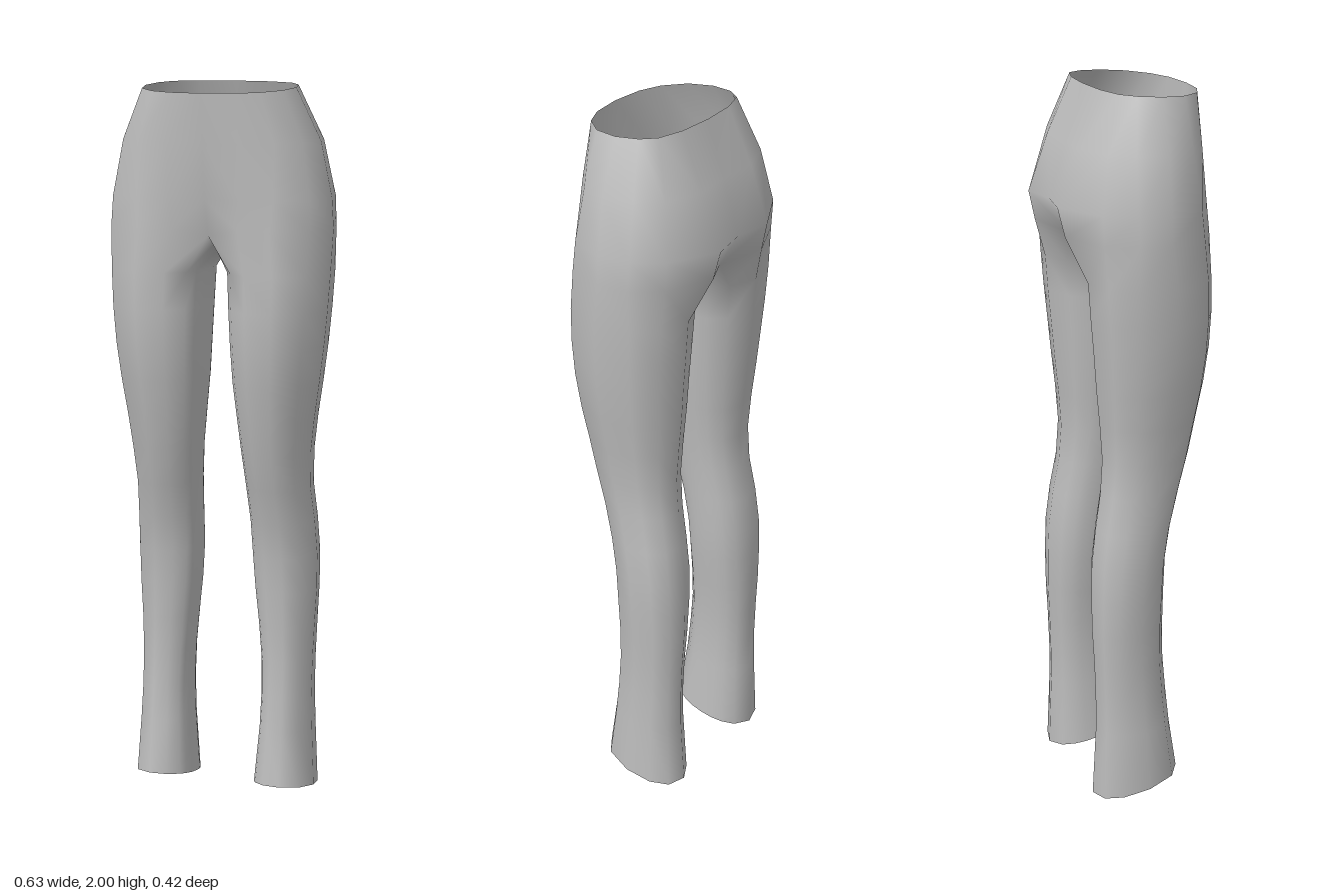
import * as THREE from 'three';
import { mergeVertices } from 'three/addons/utils/BufferGeometryUtils.js';

// Half sections of the hips as [x, z], from front centre round the side to back centre
const WAIST = [[0, .208], [.09, .198], [.15, .17], [.197, .115], [.213, .045], [.2, -.02], [.17, -.06], [.1, -.083], [0, -.09]];
const UPPER_HIP = [[0, .196], [.1, .193], [.19, .168], [.252, .115], [.28, .035], [.264, -.05], [.212, -.11], [.11, -.15], [0, -.14]];
const SEAT = [[0, .178], [.1, .188], [.19, .183], [.277, .13], [.31, .03], [.296, -.058], [.24, -.135], [.105, -.207], [0, -.188]];
const HIP_JOINT = [[0, .148], [.09, .18], [.185, .194], [.28, .138], [.315, .03], [.3, -.055], [.24, -.13], [.11, -.188], [0, -.13]];

// Crotch seam as [y, z], from back to front
const SEAM = [[1.572, -.09], [1.558, -.05], [1.553, 0], [1.555, .05], [1.572, .1]];

// Leg sections: y, inner x, outer x, back z, front z
const LEG = [
  [1.5, .027, .313, -.142, .2], [1.4, .032, .307, -.135, .203], [1.3, .037, .298, -.126, .198],
  [1.2, .043, .285, -.118, .185], [1.1, .053, .27, -.108, .165], [1.0, .063, .258, -.101, .145],
  [.9, .071, .253, -.108, .118], [.8, .076, .26, -.125, .09], [.7, .078, .264, -.137, .073],
  [.6, .085, .262, -.14, .068], [.5, .096, .256, -.139, .065], [.4, .105, .252, -.134, .066],
  [.3, .108, .251, -.131, .075], [.2, .105, .255, -.131, .086], [.025, .092, .264, -.14, .11],
];

// Directions round a leg, measured from the front towards the outside
const ANGLES = [-48, -22, 8, 45, 85, 118, 150, 185, 218, 240, 255, 270, 285, 299];

function legRing([y, x0, x1, z0, z1], last) {
  return ANGLES.map((deg) => {
    const a = deg * Math.PI / 180, s = Math.sin(a), c = Math.cos(a);
    const round = (v) => Math.sign(v) * Math.pow(Math.abs(v), .92);
    const z = (z0 + z1) / 2 + round(c) * (z1 - z0) / 2;
    // the hem rises towards the front
    const h = last ? .05 * (z - z0) / (z1 - z0) : y;
    return [(x0 + x1) / 2 + round(s) * (x1 - x0) / 2, h, z];
  });
}

// Adds the quads between an upper and a lower ring; side -1 mirrors them
function stitch(out, upper, lower, count, side) {
  for (let j = 0; j < count; j++) {
    const k = (j + 1) % upper.length;
    const quad = [upper[j], lower[j], lower[k], upper[j], lower[k], upper[k]];
    if (side < 0) quad.reverse();
    for (const [x, y, z] of quad) out.push(side * x, y, z);
  }
}

function toGeometry(points) {
  const g = new THREE.BufferGeometry();
  g.setAttribute('position', new THREE.Float32BufferAttribute(points, 3));
  return g;
}

export function createModel() {
  const group = new THREE.Group();
  group.name = 'trousers';
  const cloth = new THREE.MeshStandardMaterial({ color: 0xbcbcbc, side: THREE.DoubleSide });
  cloth.name = 'grey cloth';

  const level = (section, y) => section.map(([x, z]) => [x, y, z]);
  const waist = WAIST.map(([x, z]) => [x, 2 - .02 * (z + .09) / .298, z]);
  const joint = HIP_JOINT.map(([x, z]) => [x, x === 0 ? 1.6 : 1.62, z]);
  const hips = [waist, level(UPPER_HIP, 1.85), level(SEAT, 1.7), joint];
  const legs = [
    [...joint, ...SEAM.map(([y, z]) => [0, y, z])],
    ...LEG.map((s, i) => legRing(s, i === LEG.length - 1)),
  ];
  const hem = legs[legs.length - 1];

  const skin = [];
  for (const side of [1, -1]) {
    for (let i = 0; i < hips.length - 1; i++) stitch(skin, hips[i], hips[i + 1], WAIST.length - 1, side);
    for (let i = 0; i < legs.length - 1; i++) stitch(skin, legs[i], legs[i + 1], ANGLES.length, side);

    // Flat closure under each leg
    const mid = [0, 1, 2].map((n) => hem.reduce((sum, p) => sum + p[n], 0) / hem.length);
    const cap = [];
    hem.forEach((p, j) => {
      const tri = [mid, hem[(j + 1) % hem.length], p];
      if (side < 0) tri.reverse();
      for (const [x, y, z] of tri) cap.push(side * x, y, z);
    });
    const capGeometry = toGeometry(cap);
    capGeometry.computeVertexNormals();
    const capMesh = new THREE.Mesh(capGeometry, cloth);
    capMesh.name = side > 0 ? 'leftHem' : 'rightHem';
    group.add(capMesh);
  }

  // Hips and both legs as one smooth skin, open at the waist
  const body = mergeVertices(toGeometry(skin), 1e-4);
  body.computeVertexNormals();
  const mesh = new THREE.Mesh(body, cloth);
  mesh.name = 'hipsAndLegs';
  group.add(mesh);
  return group;
}
